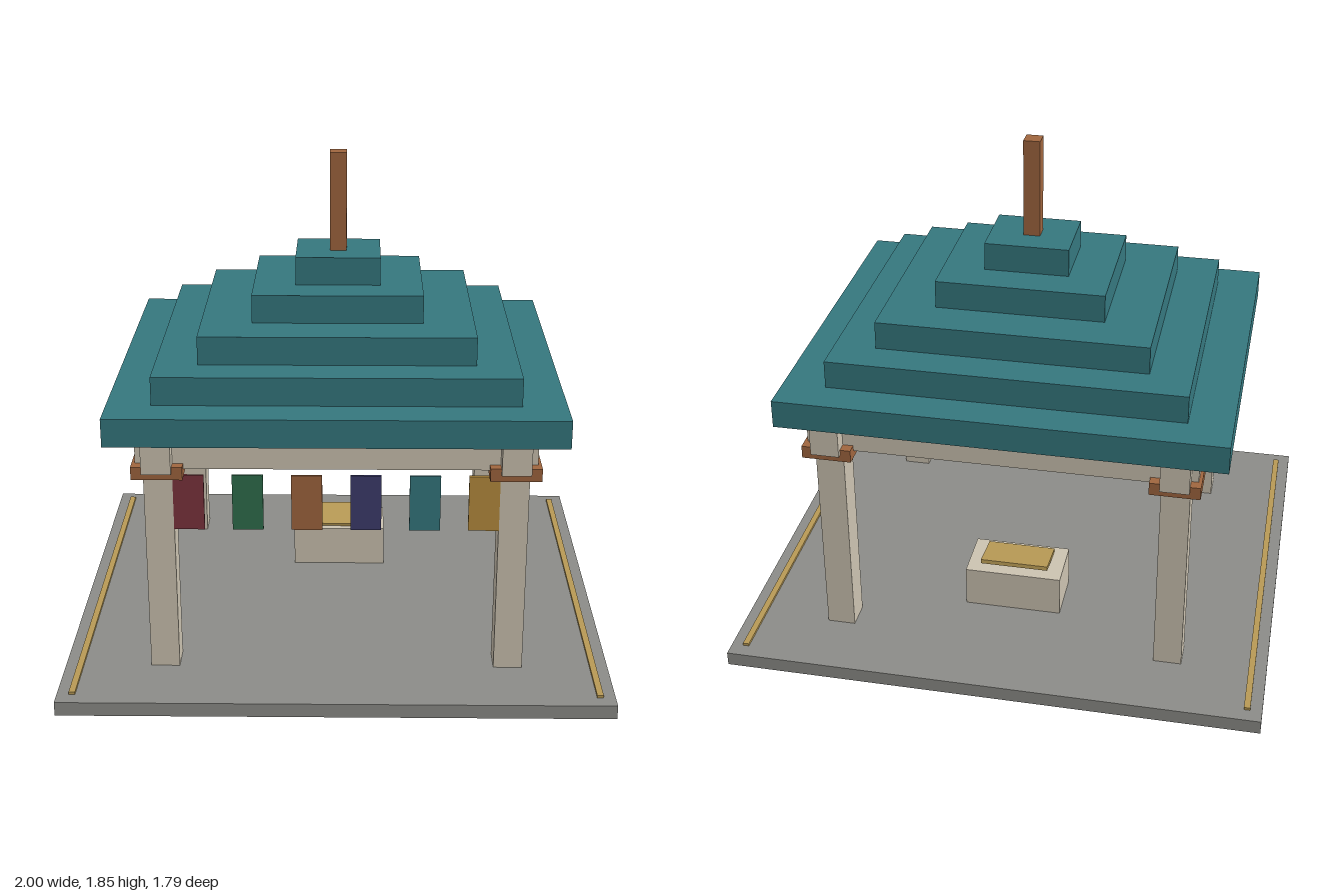
import * as THREE from 'three';

const mat = (color) => new THREE.MeshStandardMaterial({ color });
const stone = mat(0x8c8c88), cream = mat(0xccc3b1), teal = mat(0x35777e);
const copper = mat(0xa0663f), gold = mat(0xb89a55);

export function createModel() {
  const model = new THREE.Group();

  // Box given by its size, centre x/z and bottom y
  const box = (name, material, [w, h, d], x, y, z) => {
    const mesh = new THREE.Mesh(new THREE.BoxGeometry(w, h, d), material);
    mesh.name = name;
    mesh.position.set(x, y + h / 2, z);
    model.add(mesh);
    return mesh;
  };

  const floor = 0.053, eaves = 0.95, step = 0.105;
  const colX = 0.631, colZ = 0.58, thick = 0.105;

  // Floor slab
  box('floorSlab', stone, [2, floor, 1.79], 0, 0, 0);

  // Columns with collars, and the floor strips along both sides
  for (const sx of [-1, 1]) {
    box('floorStrip', gold, [0.023, 0.01, 1.68], sx * 0.945, floor, 0);
    for (const sz of [-1, 1]) {
      box('column', cream, [thick, 0.845 - floor, thick], sx * colX, floor, sz * colZ);
      box('collar', copper, [0.182, 0.048, 0.182], sx * colX, 0.818, sz * colZ);
    }
  }

  // Crossing beams under the roof
  for (const s of [-1, 1]) {
    box('crossBeam', cream, [1.42, step, thick], 0, 0.845, s * colZ);
    box('sideBeam', cream, [thick, step, 1.374], s * colX, 0.845, 0);
  }

  // Stepped roof, each tier as half width and half depth
  const tiers = [[0.815, 0.692], [0.655, 0.558], [0.5, 0.425], [0.313, 0.265], [0.157, 0.132]];
  tiers.forEach(([hx, hz], i) =>
    box('roofTier', teal, [hx * 2, step, hz * 2], 0, eaves + i * step, 0));
  box('finial', copper, [0.062, 0.37, 0.062], 0, eaves + 5 * step, 0);

  // Row of hanging banners along the front
  [0x7c333d, 0x2f6e4c, 0xa0663f, 0x3d3c6d, 0x35777e, 0xb88d3e].forEach((color, i) =>
    box('banner', mat(color), [0.11, 0.21, 0.01], (i - 2.5) * 0.21, 0.61, 0.628));

  // Pedestal with a tilted tablet
  box('pedestal', cream, [0.37, 0.158, 0.21], 0, floor, -0.315);
  box('tablet', gold, [0.262, 0.016, 0.16], 0, 0.219, -0.315).rotation.x = 0.15;

  return model;
}
